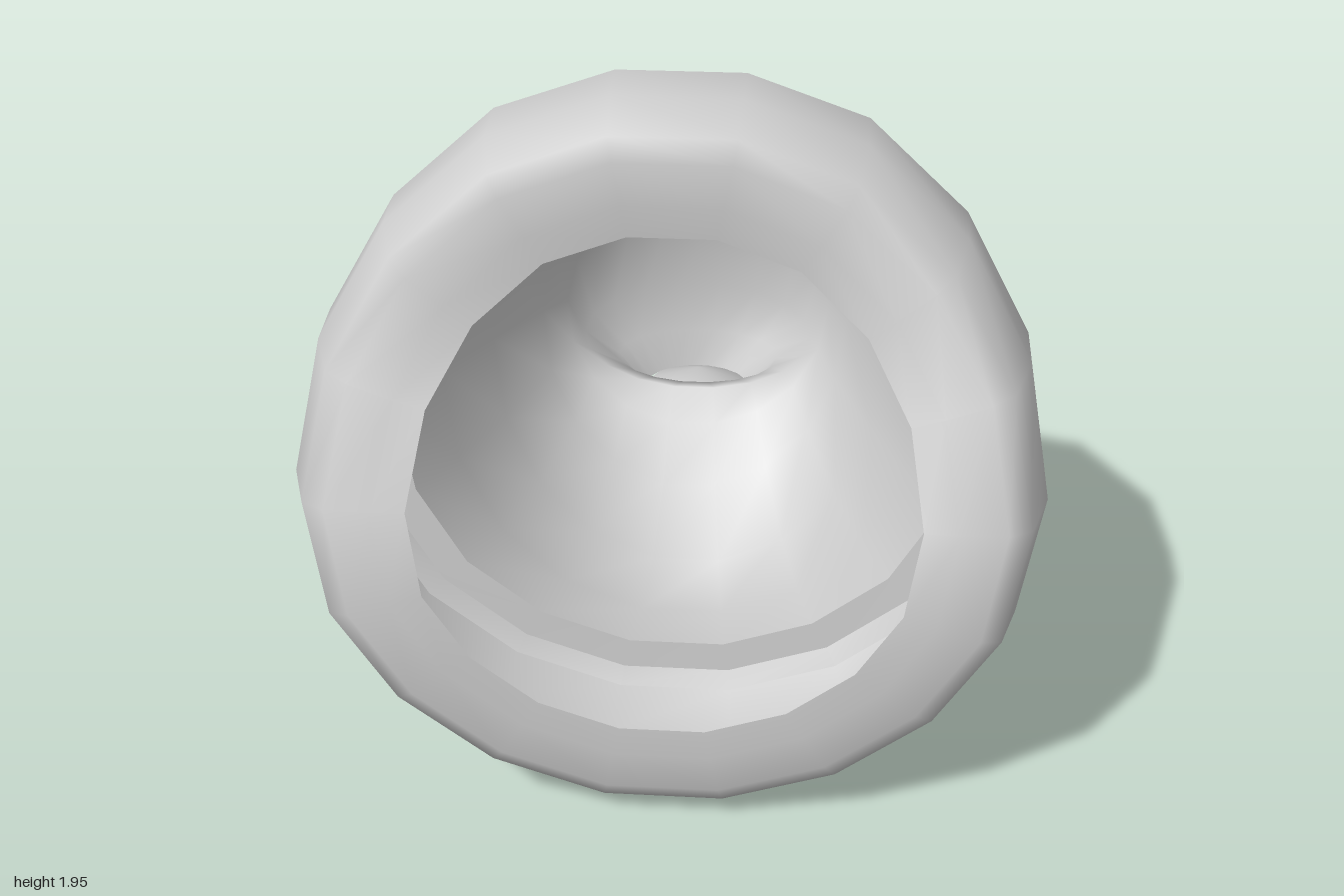
import * as THREE from 'three';

const SIDES = 18;
const material = new THREE.MeshStandardMaterial({ color: 0xcccccc, side: THREE.DoubleSide });

// angle of a ring vertex, measured from the top towards +x
const angle = (i) => ((10 + 20 * i) * Math.PI) / 180;

// skin closed rings of points into one smooth surface
function loft(name, rings) {
  const index = [];
  for (let j = 0; j < rings.length - 1; j++) {
    for (let i = 0; i < SIDES; i++) {
      const k = (i + 1) % SIDES;
      const a = j * SIDES + i, b = j * SIDES + k;
      const c = a + SIDES, d = b + SIDES;
      index.push(a, b, c, b, d, c);
    }
  }
  const geometry = new THREE.BufferGeometry();
  geometry.setAttribute('position', new THREE.Float32BufferAttribute(rings.flat(2), 3));
  geometry.setIndex(index);
  geometry.computeVertexNormals();
  const mesh = new THREE.Mesh(geometry, material);
  mesh.name = name;
  return mesh;
}

// depth of the bent brim, from top (first) to bottom (last) of one half
const backZ = [-0.03, -0.03, 0.08, 0.2, 0.31, 0.34, 0.36, 0.36, 0.36];
const frontZ = [0.475, 0.49, 0.57, 0.68, 0.83, 0.89, 0.89, 0.89, 0.89];

// brim ring: radius r, t = 0 at the back edge and 1 at the front edge
function brimRing([r, t]) {
  return Array.from({ length: SIDES }, (_, i) => {
    const a = angle(i);
    const h = i < 9 ? i : SIDES - 1 - i;
    return [1.03 * r * Math.sin(a), 0.985 + r * Math.cos(a), THREE.MathUtils.lerp(backZ[h], frontZ[h], t)];
  });
}

// body ring: top and bottom points in the side plane, half width, forward bow of the sides
function bodyRing([topZ, topY, lowZ, lowY, width, bow]) {
  return Array.from({ length: SIDES }, (_, i) => {
    const a = angle(i);
    const c = Math.cos(a) / Math.cos(angle(0));
    return [
      width * Math.sin(a),
      (topY + lowY) / 2 + ((topY - lowY) / 2) * c,
      (topZ + lowZ) / 2 + ((topZ - lowZ) / 2) * c + bow * Math.sin(a) ** 2,
    ];
  });
}

export function createModel() {
  const group = new THREE.Group();
  group.name = 'floppyHat';

  // puffy brim, open at the front
  const brim = [[0.65, 1], [0.74, 1.01], [0.86, 1], [0.92, 0.94], [0.97, 0.65], [0.975, 0.32], [0.92, 0.06]];
  group.add(loft('brim', brim.map(brimRing)));

  // bevel and step between brim and body, with sharp edges
  group.add(loft('brimBevel', [[0.92, 0.06], [0.87, 0]].map(brimRing)));
  group.add(loft('brimStep', [[0.87, 0], [0.78, -0.02]].map(brimRing)));

  // body curling back and down to a narrow tip
  const body = [
    [-0.2, 1.76, 0.14, 0.18, 0.71, 0.1],
    [-0.41, 1.64, -0.07, 0.22, 0.6, 0.05],
    [-0.65, 1.4, -0.22, 0.4, 0.48, 0],
    [-0.78, 1.18, -0.36, 0.55, 0.42, 0],
    [-0.8, 0.82, -0.43, 0.64, 0.37, 0],
    [-0.77, 0.66, -0.48, 0.63, 0.26, 0],
    [-0.74, 0.54, -0.48, 0.54, 0.17, 0],
  ];
  group.add(loft('body', [brimRing([0.78, -0.02]), ...body.map(bodyRing)]));

  // pompom hanging from the tip
  const pompom = new THREE.Mesh(new THREE.SphereGeometry(0.302, 12, 6), material);
  pompom.name = 'pompom';
  pompom.position.set(0, 0.29, -0.59);
  pompom.rotation.x = -0.2;
  group.add(pompom);

  return group;
}
